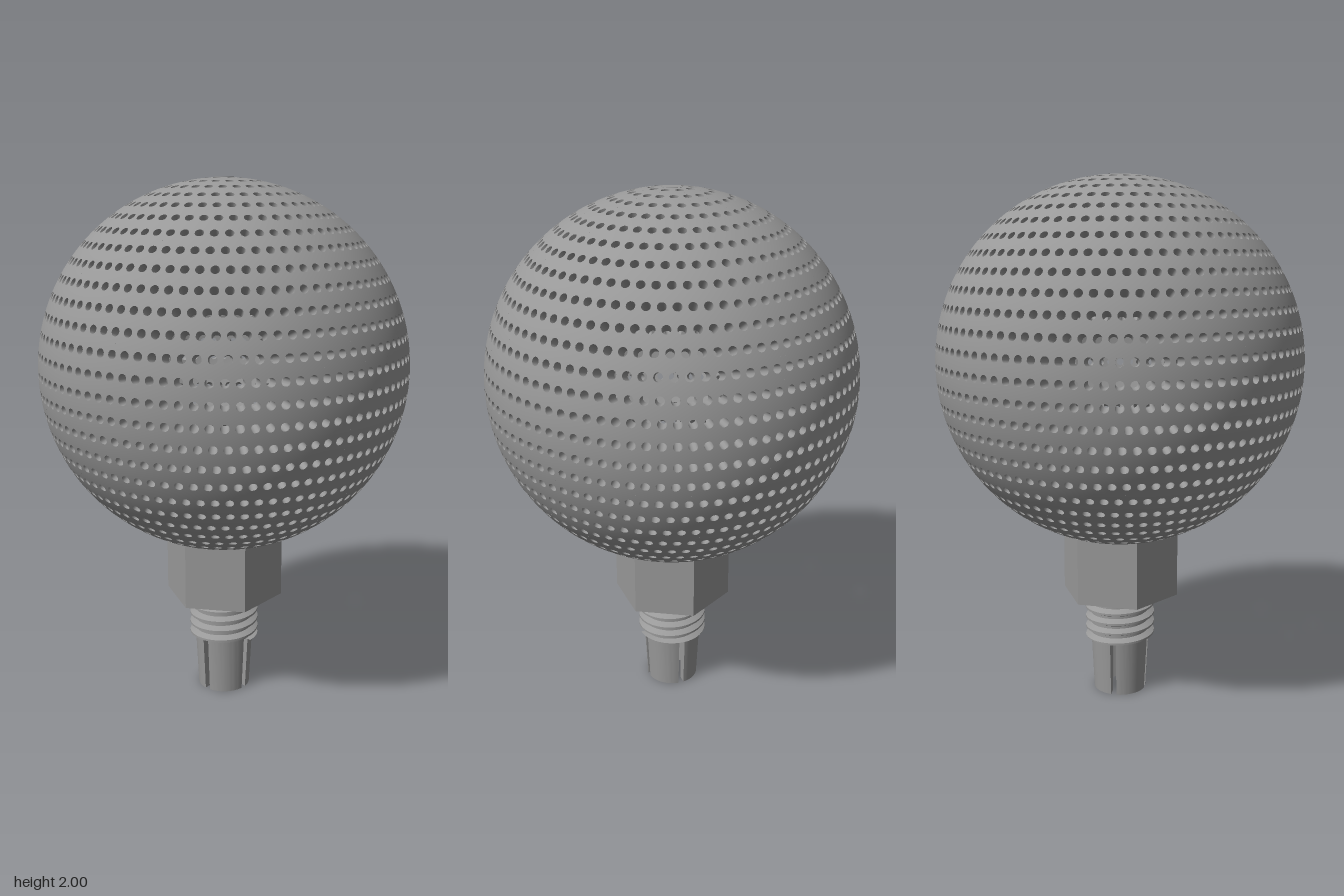
import * as THREE from 'three';
import { toCreasedNormals } from 'three/addons/utils/BufferGeometryUtils.js';

const R = 0.69, INNER = 0.62, CENTRE_Y = 1.31, HOLE = 0.0152;
const ROWS = 30, EQUATOR_HOLES = 90, SIDES = 12;

function buildGeometry(positions, index, normals) {
  const g = new THREE.BufferGeometry();
  g.setAttribute('position', new THREE.Float32BufferAttribute(positions, 3));
  if (normals) g.setAttribute('normal', new THREE.Float32BufferAttribute(normals, 3));
  g.setIndex(index);
  return g;
}

// unit direction from polar angle and longitude
const direction = (polar, lon) => new THREE.Vector3(
  Math.sin(polar) * Math.cos(lon), Math.cos(polar), -Math.sin(polar) * Math.sin(lon));

// hollow ball tiled with cells, each pierced by one radial hole
function perforatedShell() {
  const positions = [], normals = [], index = [];
  const addRing = (points, ringNormals) => {
    const start = positions.length / 3;
    points.forEach((p, k) => {
      positions.push(p.x, p.y, p.z);
      normals.push(ringNormals[k].x, ringNormals[k].y, ringNormals[k].z);
    });
    return start;
  };
  const bridge = (a, b) => {
    for (let k = 0; k < SIDES; k++) {
      const n = (k + 1) % SIDES;
      index.push(a + k, a + n, b + n, a + k, b + n, b + k);
    }
  };
  const step = Math.PI / ROWS;
  const corners = [[1, 1], [-1, 1], [-1, -1], [1, -1]];
  for (let row = 1; row < ROWS; row++) {
    const polar = row * step;
    const count = Math.round(EQUATOR_HOLES * Math.sin(polar));
    for (let i = 0; i < count; i++) {
      const lon = i / count * Math.PI * 2;
      const axis = direction(polar, lon);
      const east = new THREE.Vector3(-Math.sin(lon), 0, -Math.cos(lon));
      const north = axis.clone().cross(east);
      const edge = [], rim = [], innerRim = [], wall = [];
      for (let k = 0; k < SIDES; k++) {
        const side = Math.floor(k / 3), t = (k % 3) / 3;
        const a = corners[side], b = corners[(side + 1) % 4];
        const u = a[0] + (b[0] - a[0]) * t, v = a[1] + (b[1] - a[1]) * t;
        edge.push(direction(polar - v * step / 2, lon + u * Math.PI / count));
        const angle = Math.PI / 4 + k / SIDES * Math.PI * 2;
        const out = east.clone().multiplyScalar(Math.cos(angle)).addScaledVector(north, Math.sin(angle));
        rim.push(axis.clone().addScaledVector(out, HOLE / R).normalize());
        innerRim.push(axis.clone().addScaledVector(out, HOLE / INNER).normalize());
        wall.push(out.negate());
      }
      const scaled = (list, s) => list.map(p => p.clone().multiplyScalar(s));
      const outerRim = scaled(rim, R), insideRim = scaled(innerRim, INNER);
      bridge(addRing(scaled(edge, R), edge), addRing(outerRim, rim));
      bridge(addRing(outerRim, wall), addRing(insideRim, wall));
      bridge(addRing(insideRim, scaled(innerRim, -1)), addRing(scaled(edge, INNER), scaled(edge, -1)));
    }
  }
  return buildGeometry(positions, index, normals);
}

// threaded sleeve: a V profile swept along a right-handed helix
function threadGeometry(y0, y1, pitch, minor, major) {
  const profile = [[0, minor], [0.25, minor], [0.5, major], [0.7, major]];
  const turns = Math.ceil((y1 - y0) / pitch) + 1, segments = 64;
  const positions = [], index = [], rows = turns * profile.length;
  for (let j = 0; j <= rows; j++) {
    const [offset, radius] = profile[j % profile.length];
    const turn = Math.floor(j / profile.length) - 1 + offset;
    for (let i = 0; i <= segments; i++) {
      const a = i / segments * Math.PI * 2;
      const y = THREE.MathUtils.clamp(y0 + pitch * (turn + i / segments), y0, y1);
      positions.push(radius * Math.sin(a), y, radius * Math.cos(a));
    }
  }
  for (let j = 0; j < rows; j++) {
    for (let i = 0; i < segments; i++) {
      const a = j * (segments + 1) + i, d = a + segments + 1;
      index.push(a, a + 1, d + 1, a, d + 1, d);
    }
  }
  return toCreasedNormals(buildGeometry(positions, index), 0.4);
}

// one quarter of the slotted, tapered collet
function colletJaw(outer, inner, slot, height) {
  const a = Math.asin(slot / outer), b = Math.asin(slot / inner);
  const shape = new THREE.Shape();
  shape.absarc(0, 0, outer, a, Math.PI / 2 - a, false);
  shape.absarc(0, 0, inner, Math.PI / 2 - b, b, true);
  shape.closePath();
  const g = new THREE.ExtrudeGeometry(shape, { depth: height, bevelEnabled: false, curveSegments: 10 });
  g.rotateX(-Math.PI / 2);
  const p = g.attributes.position;
  for (let i = 0; i < p.count; i++) {
    if (Math.hypot(p.getX(i), p.getZ(i)) < (outer + inner) / 2) continue;
    const s = 0.9 + 0.1 * p.getY(i) / height;
    p.setX(i, p.getX(i) * s);
    p.setZ(i, p.getZ(i) * s);
  }
  return toCreasedNormals(g, 0.5);
}

export function createModel() {
  const model = new THREE.Group();
  const metal = new THREE.MeshStandardMaterial({ color: 0x999999 });
  metal.name = 'grey metal';
  const add = (name, geometry, y = 0) => {
    const mesh = new THREE.Mesh(geometry, metal);
    mesh.name = name;
    mesh.position.y = y;
    model.add(mesh);
    return mesh;
  };

  // perforated ball and the small solid patches at its poles
  add('perforatedBall', perforatedShell(), CENTRE_Y);
  const patch = Math.sin(Math.PI / ROWS / 2);
  for (const s of [1, -1]) {
    const cap = add(s > 0 ? 'topPatch' : 'bottomPatch',
      new THREE.CylinderGeometry(R * patch, INNER * patch, R - INNER, 24), CENTRE_Y + s * (R + INNER) / 2);
    if (s < 0) cap.rotation.x = Math.PI;
  }

  // hexagonal nut with a blind bore underneath
  const hex = new THREE.Shape();
  for (let i = 0; i < 6; i++) {
    const a = i * Math.PI / 3;
    hex[i ? 'lineTo' : 'moveTo'](0.23 * Math.cos(a), 0.23 * Math.sin(a));
  }
  hex.closePath();
  const bore = new THREE.Path();
  bore.absarc(0, 0, 0.07, 0, Math.PI * 2, true);
  hex.holes.push(bore);
  const nut = new THREE.ExtrudeGeometry(hex, { depth: 0.26, bevelEnabled: false, curveSegments: 16 });
  nut.rotateX(-Math.PI / 2);
  add('hexNut', toCreasedNormals(nut, 0.5), 0.4);

  // threaded neck, its bore and its lower annular face
  add('thread', threadGeometry(0.22, 0.4, 0.04, 0.114, 0.136));
  const sleeve = [[0.07, 0.4], [0.07, 0.22], [0.116, 0.22]].map(p => new THREE.Vector2(...p));
  add('threadBore', toCreasedNormals(new THREE.LatheGeometry(sleeve, 48), 0.5));

  // four collet jaws separated by slots
  const jaw = colletJaw(0.114, 0.07, 0.012, 0.222);
  for (let i = 0; i < 4; i++) add('colletJaw' + (i + 1), jaw).rotation.y = i * Math.PI / 2;

  return model;
}
